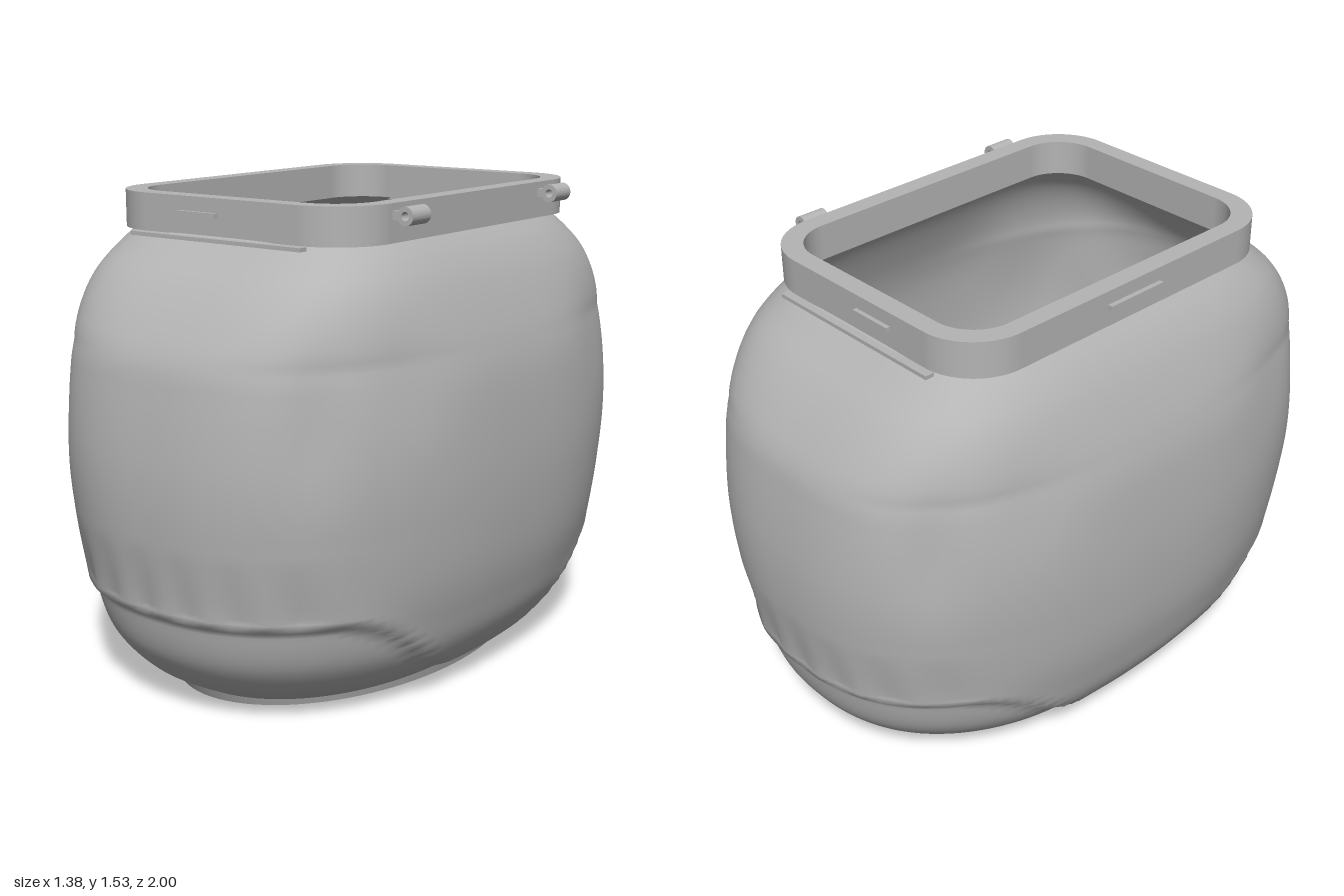
import * as THREE from 'three';

const shell = new THREE.MeshStandardMaterial({ color: 0xb4b4b4, side: THREE.DoubleSide });
shell.name = 'plain grey';

const smooth = THREE.MathUtils.smoothstep;
const lerp = THREE.MathUtils.lerp;
const bump = (v, centre, width) => Math.exp(-(((v - centre) / width) ** 2));

// Half width, height and half depth of the soft body, bottom to top
const profile = new THREE.CatmullRomCurve3([
  [0.46, 0.03, 0.73], [0.54, 0.085, 0.82], [0.615, 0.19, 0.91], [0.65, 0.3, 0.95],
  [0.675, 0.42, 0.975], [0.69, 0.6, 0.995], [0.69, 0.78, 0.995], [0.672, 1.0, 0.968],
  [0.65, 1.1, 0.945], [0.615, 1.2, 0.885], [0.57, 1.3, 0.8], [0.525, 1.37, 0.715],
  [0.49, 1.41, 0.665], [0.475, 1.425, 0.645],
].map(p => new THREE.Vector3(...p)), false, 'centripetal');

// Outlines go from oval at the base to a rounded rectangle at the rim
function squareness(y) {
  if (y < 0.6) return lerp(2.2, 2.5, y / 0.6);
  return y < 1.1 ? lerp(2.5, 2.9, (y - 0.6) / 0.5) : lerp(2.9, 4.6, (y - 1.1) / 0.325);
}

// Seam lip, gathered pleats and shallow dents of the fabric
function fabricOffset(x, y, z) {
  const seam = lerp(0.05, 0.34, smooth(Math.abs(z), 0.12, 0.72));
  const ends = smooth(Math.abs(z), 0.6, 0.85);
  const h = y - seam;
  const lip = smooth(h, -0.015, 0.012);
  let d = lip * 0.014 * Math.exp(-Math.max(h, 0) / 0.06)
    - (1 - lip) * 0.012 * Math.exp(Math.min(h, 0) / 0.07);
  if (h > 0 && h < 0.22) {
    const pleat = Math.abs(((x * 6.5 + 10.2) % 1) * 2 - 1);
    d -= 0.016 * ends * pleat * (1 - h / 0.22) * smooth(h, 0.0, 0.02);
  }
  d -= 0.018 * bump(Math.abs(x), 0.5, 0.07) * bump(y, 0.95, 0.22) * ends;
  d -= 0.012 * bump(Math.abs(z), 0.55, 0.15) * bump(y, 1.05, 0.15);
  return d * smooth(y, 0.03, 0.07) * (1 - smooth(y, 1.3, 1.4));
}

function bodyGeometry(rows = 100, cols = 144) {
  const pos = [], index = [];
  for (let i = 0; i <= rows; i++) {
    const p = profile.getPointAt(i / rows), n = squareness(p.y);
    for (let j = 0; j < cols; j++) {
      const t = j / cols * Math.PI * 2, c = Math.cos(t), s = Math.sin(t);
      const r = (Math.abs(c) ** n + Math.abs(s) ** n) ** (-1 / n);
      const x = p.x * c * r, z = p.z * s * r;
      const d = fabricOffset(x, p.y, z);
      pos.push(x + d * c, p.y, z + d * s);
      if (i < rows) {
        const a = i * cols + j, b = i * cols + (j + 1) % cols;
        index.push(a, a + cols, b, b, a + cols, b + cols);
      }
    }
  }
  const g = new THREE.BufferGeometry();
  g.setAttribute('position', new THREE.Float32BufferAttribute(pos, 3));
  g.setIndex(index);
  g.computeVertexNormals();
  return g;
}

function roundedRect(target, w, d, r) {
  target.moveTo(w - r, -d);
  target.absarc(w - r, -d + r, r, -Math.PI / 2, 0);
  target.absarc(w - r, d - r, r, 0, Math.PI / 2);
  target.absarc(-w + r, d - r, r, Math.PI / 2, Math.PI);
  target.absarc(-w + r, -d + r, r, Math.PI, Math.PI * 1.5);
  target.closePath();
  return target;
}

export function createModel() {
  const model = new THREE.Group();
  model.name = 'openContainer';
  const add = (name, geometry, x = 0, y = 0, z = 0) => {
    const mesh = new THREE.Mesh(geometry, shell);
    mesh.name = name;
    mesh.position.set(x, y, z);
    model.add(mesh);
    return mesh;
  };

  add('fabricBody', bodyGeometry());

  // Flat oval base, also the floor inside
  const base = new THREE.CylinderGeometry(1, 0.98, 0.034, 96);
  base.scale(0.465, 1, 0.735);
  add('base', base, 0, 0.017, 0);

  // Stiff rim with a rounded opening
  const outline = roundedRect(new THREE.Shape(), 0.483, 0.648, 0.19);
  outline.holes.push(roundedRect(new THREE.Path(), 0.42, 0.585, 0.14));
  const rim = new THREE.ExtrudeGeometry(outline, { depth: 0.115, bevelEnabled: false, curveSegments: 16 });
  rim.rotateX(-Math.PI / 2);
  add('rim', rim, 0, 1.42, 0);

  // Thin catches on the front, back and right side
  for (const side of [1, -1]) {
    add('rimCatch', new THREE.BoxGeometry(0.15, 0.015, 0.024), -0.075, 1.484, side * 0.65);
    // Narrow shoulder fold under the rim
    add('shoulderFold', new THREE.BoxGeometry(0.66, 0.012, 0.03), 0, 1.413, side * 0.66);
  }
  add('rimCatch', new THREE.BoxGeometry(0.024, 0.015, 0.22), -0.487, 1.484, -0.005);

  // Hinge knuckles with pin holes on the left side
  const ring = new THREE.Shape().absarc(0, 0, 0.028, 0, Math.PI * 2);
  ring.holes.push(new THREE.Path().absarc(0, 0, 0.013, 0, Math.PI * 2));
  const knuckle = new THREE.ExtrudeGeometry(ring, { depth: 0.09, bevelEnabled: false, curveSegments: 16 });
  knuckle.translate(0, 0, -0.045);
  for (const z of [0.402, -0.402]) {
    add('hingeKnuckle', knuckle, 0.527, 1.5, z);
    add('hingeArm', new THREE.BoxGeometry(0.032, 0.026, 0.09), 0.492, 1.5, z);
  }
  return model;
}
